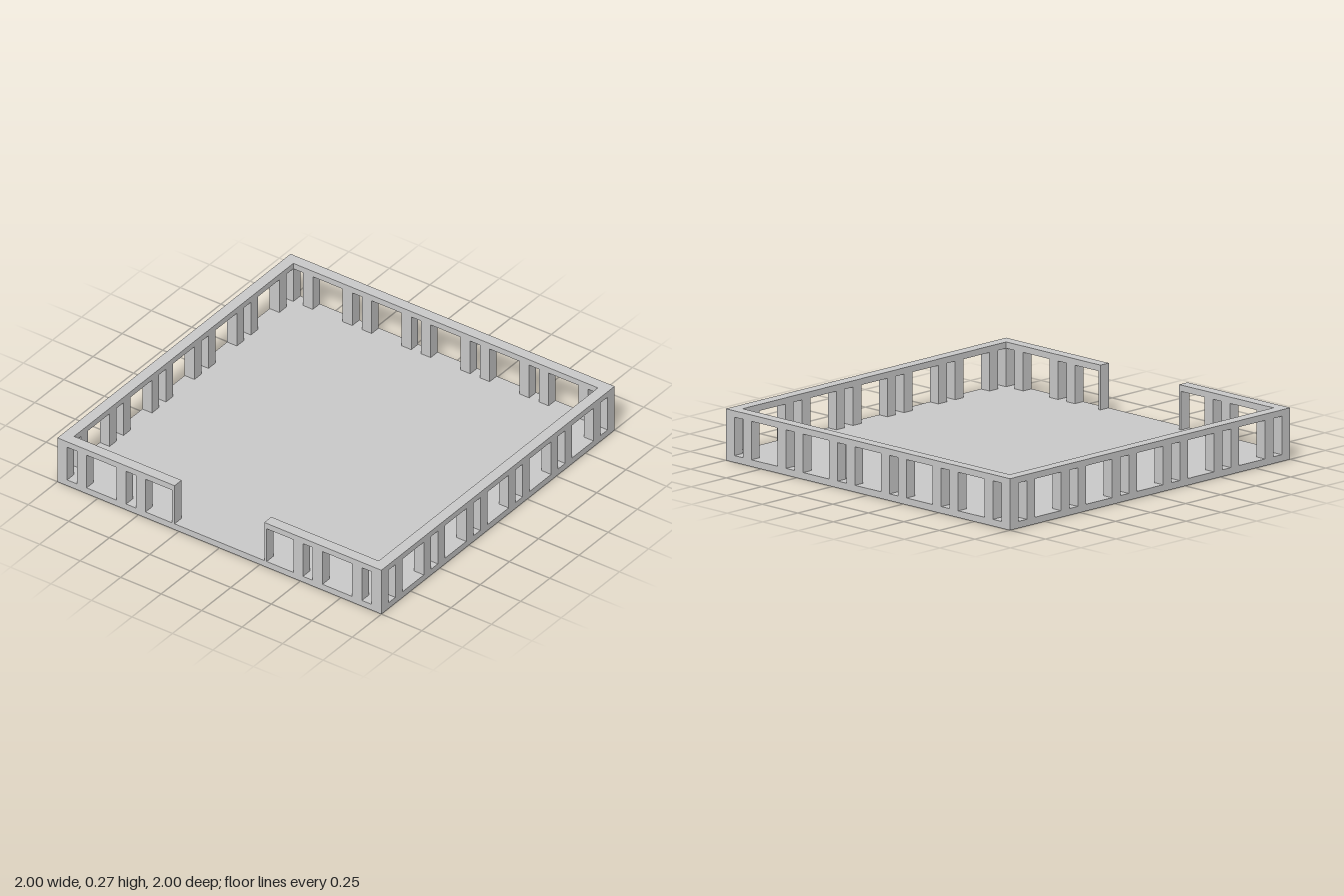
import * as THREE from 'three';

const material = new THREE.MeshStandardMaterial({ color: 0xcccccc, flatShading: true });
const T = 0.06;            // wall and post thickness
const FLOOR = 0.035;       // top of the floor slab
const RAIL = 0.234;        // underside of the top rail
const TOP = 0.267;         // top of the rail
const GAP = 0.277;         // half width of the opening on the -x side
const PAIR = 0.364;        // spacing of the post pairs

function box(name, w, h, d, x, y, z) {
  const mesh = new THREE.Mesh(new THREE.BoxGeometry(w, h, d), material);
  mesh.name = name;
  mesh.position.set(x, y, z);
  return mesh;
}

function post(name, x, z, w = T, d = T) {
  return box(name, w, RAIL - FLOOR, d, x, (RAIL + FLOOR) / 2, z);
}

export function createModel() {
  const model = new THREE.Group();
  model.name = 'railedPlatform';

  model.add(box('floor', 2, FLOOR, 2, 0, FLOOR / 2, 0));

  // Top rail: a square ring, broken at the opening
  const i = 1 - T;
  const outline = [
    [-1, -GAP], [-1, -1], [1, -1], [1, 1], [-1, 1], [-1, GAP],
    [-i, GAP], [-i, i], [i, i], [i, -i], [-i, -i], [-i, -GAP],
  ].map(([x, y]) => new THREE.Vector2(x, y));
  const railGeometry = new THREE.ExtrudeGeometry(new THREE.Shape(outline), {
    depth: TOP - RAIL, bevelEnabled: false,
  });
  railGeometry.rotateX(-Math.PI / 2);
  const rail = new THREE.Mesh(railGeometry, material);
  rail.name = 'topRail';
  rail.position.y = RAIL;
  model.add(rail);

  // Corner posts
  const e = 1 - T / 2;
  for (const x of [-e, e]) for (const z of [-e, e]) model.add(post('cornerPost', x, z));

  // Paired posts along each wall, leaving the opening clear
  for (let k = -2.5; k <= 2.5; k++) {
    for (const side of [-T, T]) {
      const p = k * PAIR + side;
      if (Math.abs(p) > 0.95) continue;
      model.add(post('frontPost', p, e), post('backPost', p, -e), post('leftPost', e, p));
      if (Math.abs(p) > GAP) model.add(post('rightPost', -e, p));
    }
  }

  // Thin end posts beside the opening
  for (const s of [-1, 1]) model.add(post('openingPost', -e, s * (GAP + 0.0075), T, 0.015));

  return model;
}
